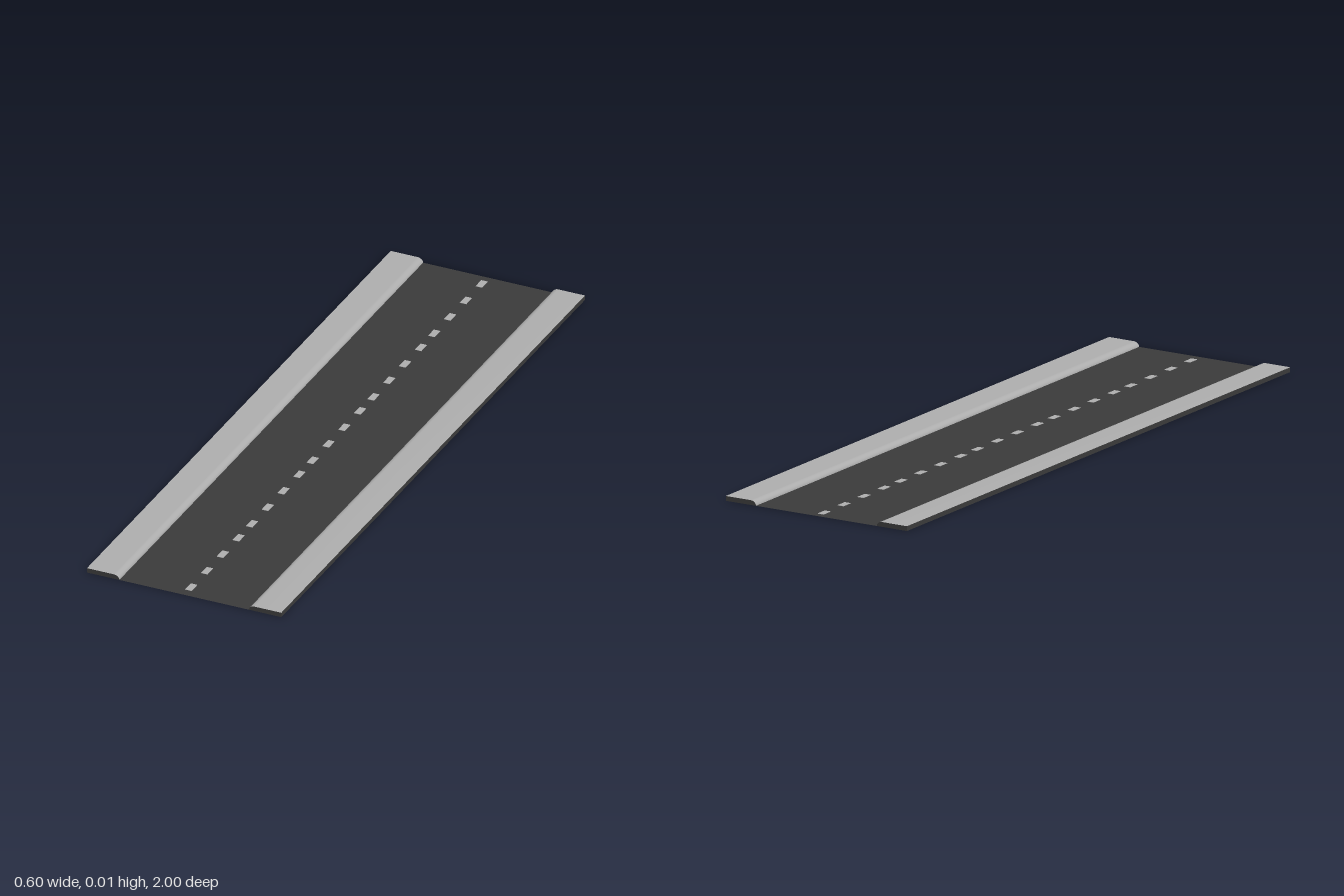
import * as THREE from 'three';

const asphalt = new THREE.MeshStandardMaterial({ color: 0x3a3a3a, side: THREE.DoubleSide });
asphalt.name = 'dark asphalt';
const concrete = new THREE.MeshStandardMaterial({ color: 0xacacac, side: THREE.DoubleSide });
concrete.name = 'light concrete';

const LENGTH = 2, TILES = 5, TILE = LENGTH / TILES;
const INNER = 0.2, OUTER = 0.3, HEIGHT = 0.014, ROUND = 0.018;

function add(parent, name, geometry, material, x = 0, y = 0, z = 0) {
  const mesh = new THREE.Mesh(geometry, material);
  mesh.name = name;
  mesh.position.set(x, y, z);
  parent.add(mesh);
  return mesh;
}

// Cross-section: rounded kerb, then a flat walking surface
function kerbProfile(steps = 8) {
  const points = [];
  for (let i = 0; i <= steps; i++) {
    const a = (i / steps) * Math.PI / 2;
    points.push(new THREE.Vector2(INNER + ROUND * (1 - Math.cos(a)), HEIGHT * Math.sin(a)));
  }
  points.push(new THREE.Vector2(OUTER, HEIGHT));
  return points;
}

// Hollow sidewalk, open underneath, with a dark rib at every tile joint
function makeSidewalk(name) {
  const group = new THREE.Group();
  group.name = name;
  const profile = kerbProfile();

  const surface = new THREE.PlaneGeometry(1, LENGTH, profile.length - 1, 1).rotateX(-Math.PI / 2);
  const pos = surface.attributes.position;
  for (let i = 0; i < pos.count; i++) {
    const p = profile[i % profile.length];
    pos.setXY(i, p.x, p.y);
  }
  surface.computeVertexNormals();
  add(group, 'sidewalkSurface', surface, concrete);

  const wall = new THREE.PlaneGeometry(LENGTH, HEIGHT).rotateY(Math.PI / 2);
  add(group, 'outerWall', wall, asphalt, OUTER, HEIGHT / 2, 0);

  const rib = new THREE.ShapeGeometry(new THREE.Shape([...profile, new THREE.Vector2(OUTER, 0)]));
  for (let i = 0; i <= TILES; i++) {
    const end = i === 0 || i === TILES;
    const mesh = add(group, end ? 'endCap' : 'jointRib', rib, asphalt, 0, 0, -LENGTH / 2 + i * TILE);
    if (!end) mesh.scale.y = 0.98; // keep joints just under the surface
  }
  return group;
}

export function createModel() {
  const model = new THREE.Group();
  model.name = 'road';

  add(model, 'roadSurface', new THREE.PlaneGeometry(INNER * 2, LENGTH).rotateX(-Math.PI / 2), asphalt);

  const left = makeSidewalk('leftSidewalk');
  const right = makeSidewalk('rightSidewalk');
  right.rotation.y = Math.PI;
  model.add(left, right);

  // Centre line: four dashes per tile, the first one set through the road
  const dash = new THREE.BoxGeometry(0.02, 0.001, 0.038);
  for (let t = 0; t < TILES; t++) {
    for (let i = 0; i < 4; i++) {
      const z = -LENGTH / 2 + t * TILE + 0.041 + i * 0.104;
      const mesh = add(model, 'laneDash', dash, concrete, 0, i === 0 ? 0 : 0.0005, z);
      if (i === 0) mesh.scale.y = 1.6;
    }
  }
  return model;
}
